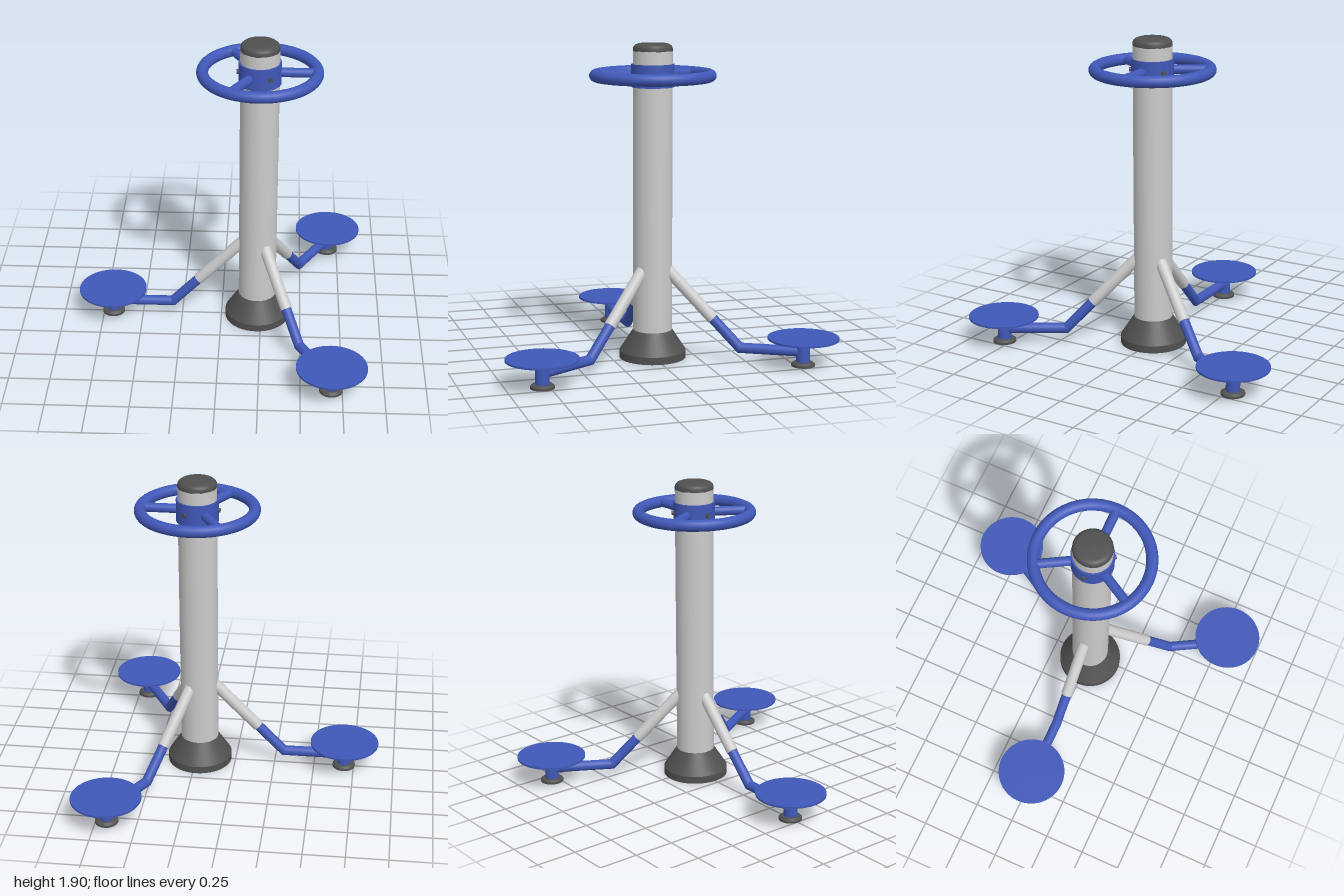
import * as THREE from 'three';

const mat = (color) => new THREE.MeshStandardMaterial({ color });
const grey = mat(0xcccccc), blue = mat(0x4058b8), dark = mat(0x505050);

function add(parent, name, geometry, material, x = 0, y = 0, z = 0) {
  const mesh = new THREE.Mesh(geometry, material);
  mesh.name = name;
  mesh.position.set(x, y, z);
  parent.add(mesh);
  return mesh;
}

// Smooth tube between two points of the xy plane; mitre slants its first end.
function tube(parent, name, a, b, radius, material, mitre = 0) {
  const dx = b[0] - a[0], dy = b[1] - a[1];
  const g = new THREE.CylinderGeometry(radius, radius, Math.hypot(dx, dy), 24);
  const p = g.attributes.position;
  for (let i = 0; i < p.count; i++) {
    if (p.getY(i) < 0) p.setY(i, p.getY(i) + p.getX(i) * mitre);
  }
  const mesh = add(parent, name, g, material, (a[0] + b[0]) / 2, (a[1] + b[1]) / 2);
  mesh.rotation.z = Math.atan2(dy, dx) - Math.PI / 2;
  return mesh;
}

const disc = (rTop, rBottom, height, sides = 40) =>
  new THREE.CylinderGeometry(rTop, rBottom, height, sides);

// Bent arm with its standing plate, pointing along +x
function makeArm() {
  const arm = new THREE.Group();
  arm.name = 'standingArm';
  const reach = 0.915, bend = [0.535, 0.086], joint = [0.37, 0.256], root = [0.08, 0.555];
  const angle = Math.atan2(joint[1] - bend[1], bend[0] - joint[0]);
  const mitre = Math.tan(angle / 2);
  tube(arm, 'upperArm', joint, root, 0.036, grey);
  tube(arm, 'lowerArm', bend, joint, 0.031, blue, mitre);
  tube(arm, 'footArm', bend, [reach, bend[1]], 0.031, blue, -mitre);
  add(arm, 'platePost', disc(0.041, 0.041, 0.145, 24), blue, reach, 0.0925);
  add(arm, 'standingPlate', disc(0.212, 0.212, 0.012, 48), blue, reach, 0.168);
  add(arm, 'footPad', disc(0.07, 0.07, 0.014, 32), dark, reach, 0.007);
  add(arm, 'footPadTop', disc(0.055, 0.07, 0.011, 32), dark, reach, 0.0195);
  return arm;
}

export function createModel() {
  const model = new THREE.Group();
  model.name = 'twistTrainer';
  const body = new THREE.Group();
  body.name = 'body';
  body.position.x = 0.226;
  model.add(body);

  // Post with flared base and rounded cap
  add(body, 'baseRim', disc(0.2, 0.2, 0.045), dark, 0, 0.0225);
  add(body, 'baseCone', disc(0.118, 0.2, 0.127), dark, 0, 0.1085);
  add(body, 'post', disc(0.117, 0.117, 1.72), grey, 0, 0.99);
  const capProfile = [[0.117, 1.848], [0.117, 1.866], [0.112, 1.878], [0.102, 1.887], [0.085, 1.893], [0, 1.896]]
    .map(([x, y]) => new THREE.Vector2(x, y));
  add(body, 'postCap', new THREE.LatheGeometry(capProfile, 40), dark);

  // Hand wheel
  const wheelY = 1.705;
  add(body, 'wheelCollar', disc(0.127, 0.127, 0.135), blue, 0, wheelY);
  const ring = add(body, 'wheelRing', new THREE.TorusGeometry(0.34, 0.035, 20, 48), blue, 0, wheelY);
  ring.rotation.x = Math.PI / 2;

  // Three-fold parts: spokes, collar bolts and arms
  for (let i = 0; i < 3; i++) {
    const turn = (i * Math.PI * 2) / 3;
    const spoke = new THREE.Group();
    spoke.name = 'wheelSpoke';
    spoke.rotation.y = turn;
    tube(spoke, 'spokeTube', [0.11, wheelY], [0.34, wheelY], 0.028, blue);
    body.add(spoke);

    const bolt = new THREE.Group();
    bolt.name = 'collarBolt';
    bolt.rotation.y = turn + Math.PI;
    tube(bolt, 'boltHead', [0.12, wheelY], [0.137, wheelY], 0.014, dark);
    body.add(bolt);

    const arm = makeArm();
    arm.rotation.y = turn + Math.PI;
    body.add(arm);
  }
  return model;
}
